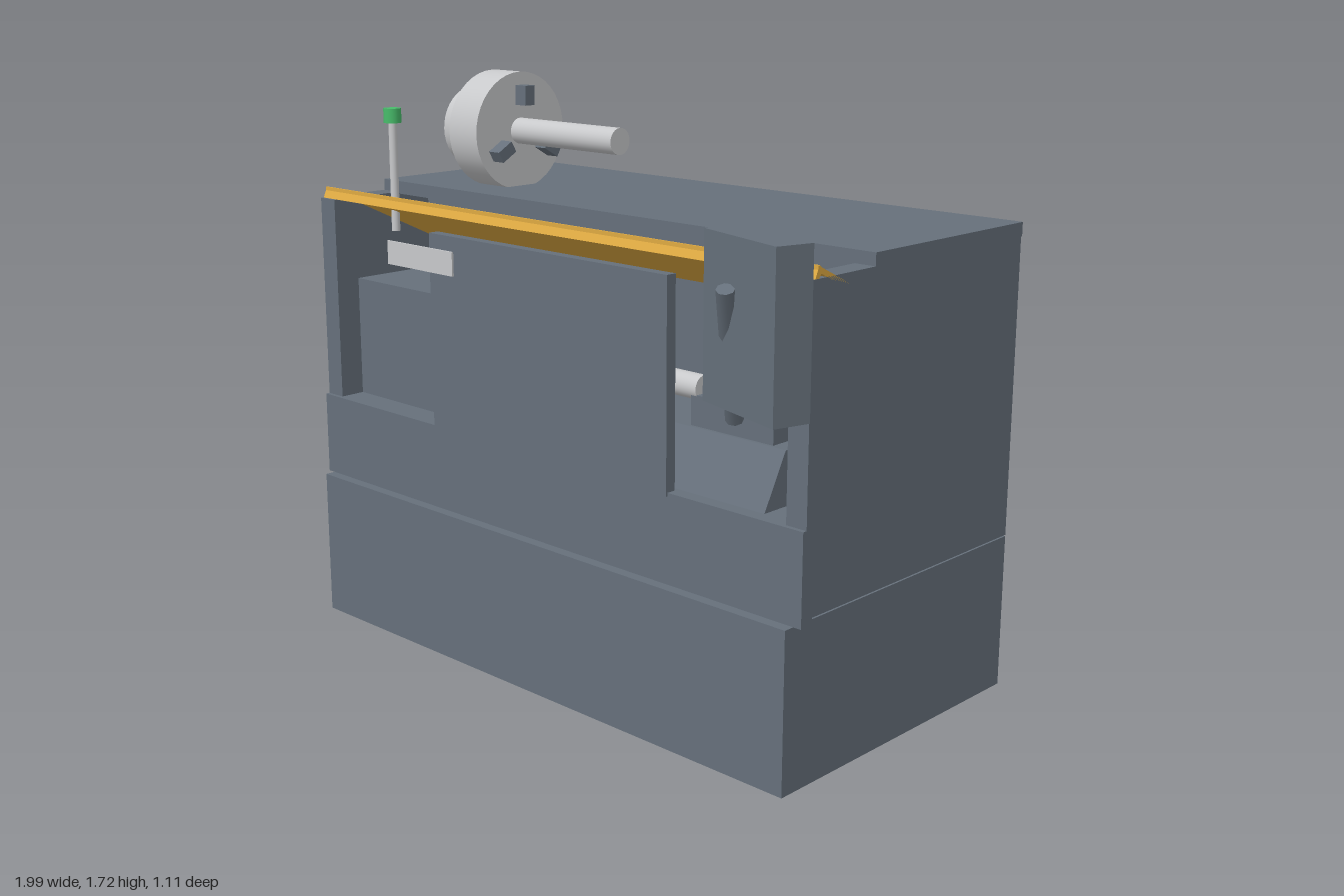
import * as THREE from 'three';

const mat = (name, color, extra = {}) => {
  const m = new THREE.MeshStandardMaterial({ color, ...extra });
  m.name = name;
  return m;
};

export function createModel() {
  const model = new THREE.Group();
  model.name = 'turningMachine';
  const grey = mat('slateGrey', 0x66707b);
  const orange = mat('amber', 0xdfaa42);
  const steel = mat('lightSteel', 0xc8c9cb);
  const green = mat('signalGreen', 0x48bd6b);

  const add = (name, geometry, material, parent = model) => {
    const mesh = new THREE.Mesh(geometry, material);
    mesh.name = name;
    parent.add(mesh);
    return mesh;
  };
  // Box given by its limits on each axis
  const box = (name, [x0, x1], [y0, y1], [z0, z1], material = grey) => {
    const mesh = add(name, new THREE.BoxGeometry(x1 - x0, y1 - y0, z1 - z0), material);
    mesh.position.set((x0 + x1) / 2, (y0 + y1) / 2, (z0 + z1) / 2);
    return mesh;
  };
  // Cylinder between two points
  const rod = (name, a, b, r, material, sides = 32) => {
    const p = new THREE.Vector3(...a), q = new THREE.Vector3(...b);
    const mesh = add(name, new THREE.CylinderGeometry(r, r, p.distanceTo(q), sides), material);
    mesh.position.copy(p).add(q).multiplyScalar(0.5);
    mesh.quaternion.setFromUnitVectors(new THREE.Vector3(0, 1, 0), q.sub(p).normalize());
    return mesh;
  };
  // Prism along x from a (z, y) outline
  const prism = (name, [x0, x1], outline, material) => {
    const shape = new THREE.Shape(outline.map(([z, y]) => new THREE.Vector2(-z, y)));
    const g = new THREE.ExtrudeGeometry(shape, { depth: x1 - x0, bevelEnabled: false });
    g.rotateY(Math.PI / 2);
    g.translate(x0, 0, 0);
    return add(name, g, material);
  };

  // Base and housing
  box('base', [-0.972, 0.92], [0, 0.455], [-0.555, 0.435]);
  box('plinth', [-0.9, 0.85], [0.45, 0.48], [-0.44, 0.335]);
  box('rearHousing', [-0.998, 0.945], [0.475, 1.335], [-0.515, 0.02]);
  box('backPanel', [-0.972, 0.92], [0.475, 1.368], [-0.533, -0.51]);
  box('topCover', [-0.998, 0.945], [1.33, 1.37], [-0.52, 0.142]);
  box('leftWall', [-0.998, -0.93], [0.475, 1.335], [0.01, 0.39]);
  box('rightWall', [0.88, 0.945], [0.475, 1.335], [0.01, 0.39]);
  box('chamberFloor', [-0.94, 0.89], [0.475, 0.71], [0.01, 0.385]);
  box('frontPanel', [-0.998, 0.945], [0.455, 0.71], [0.36, 0.403]);

  // Front door with its pull plate
  box('door', [-0.455, 0.49], [0.7, 1.29], [0.375, 0.408]);
  box('doorHandle', [-0.578, -0.288], [1.19, 1.26], [0.458, 0.464], steel);

  // Chamber contents
  box('headstock', [-0.93, -0.36], [0.71, 1.08], [0.01, 0.31]);
  prism('slantBed', [-0.36, 0.785], [[0.36, 0.71], [0.28, 0.86], [0.01, 0.86], [0.01, 0.71]], grey);
  box('tailstock', [0.45, 0.735], [0.86, 0.945], [0.02, 0.27]);
  rod('tailstockQuill', [0.3, 0.96, 0.24], [0.47, 0.96, 0.24], 0.035, steel);

  // Sloping top guard and its front lip
  prism('topGuard', [-0.998, 0.945],
    [[0.37, 1.368], [0.02, 1.198], [0.02, 1.186], [0.37, 1.352]], orange);
  prism('guardLip', [-0.998, 0.945],
    [[0.365, 1.368], [0.38, 1.335], [0.365, 1.335], [0.35, 1.357]], orange);

  // Control panel on a leaning arm
  const panel = add('controlPanel', new THREE.BoxGeometry(0.31, 0.433, 0.106), grey);
  panel.position.set(0.831, 1.221, 0.458);
  panel.rotation.y = -0.28;
  rod('panelArm', [0.69, 0.94, 0.37], [0.785, 1.31, 0.52], 0.024, grey, 8);

  // Chuck, jaws and workpiece
  const cy = 1.54, cz = -0.06;
  rod('chuckBack', [-0.785, cy, cz], [-0.69, cy, cz], 0.126, steel, 40);
  rod('chuckBody', [-0.695, cy, cz], [-0.57, cy, cz], 0.18, steel, 40);
  rod('workpiece', [-0.58, cy, cz], [-0.138, cy, cz], 0.04, steel, 24);
  for (let i = 0; i < 3; i++) {
    const a = i * Math.PI * 2 / 3;
    const jaw = add('chuckJaw', new THREE.BoxGeometry(0.055, 0.06, 0.037), grey);
    jaw.position.set(-0.552, cy + Math.cos(a) * 0.11, cz + Math.sin(a) * 0.11);
    jaw.rotation.x = a;
  }

  // Signal lamp
  rod('lampPole', [-0.795, 1.24, 0.26], [-0.795, 1.58, 0.26], 0.013, steel, 16);
  rod('signalLamp', [-0.795, 1.572, 0.26], [-0.795, 1.616, 0.26], 0.027, green, 20);

  return model;
}
